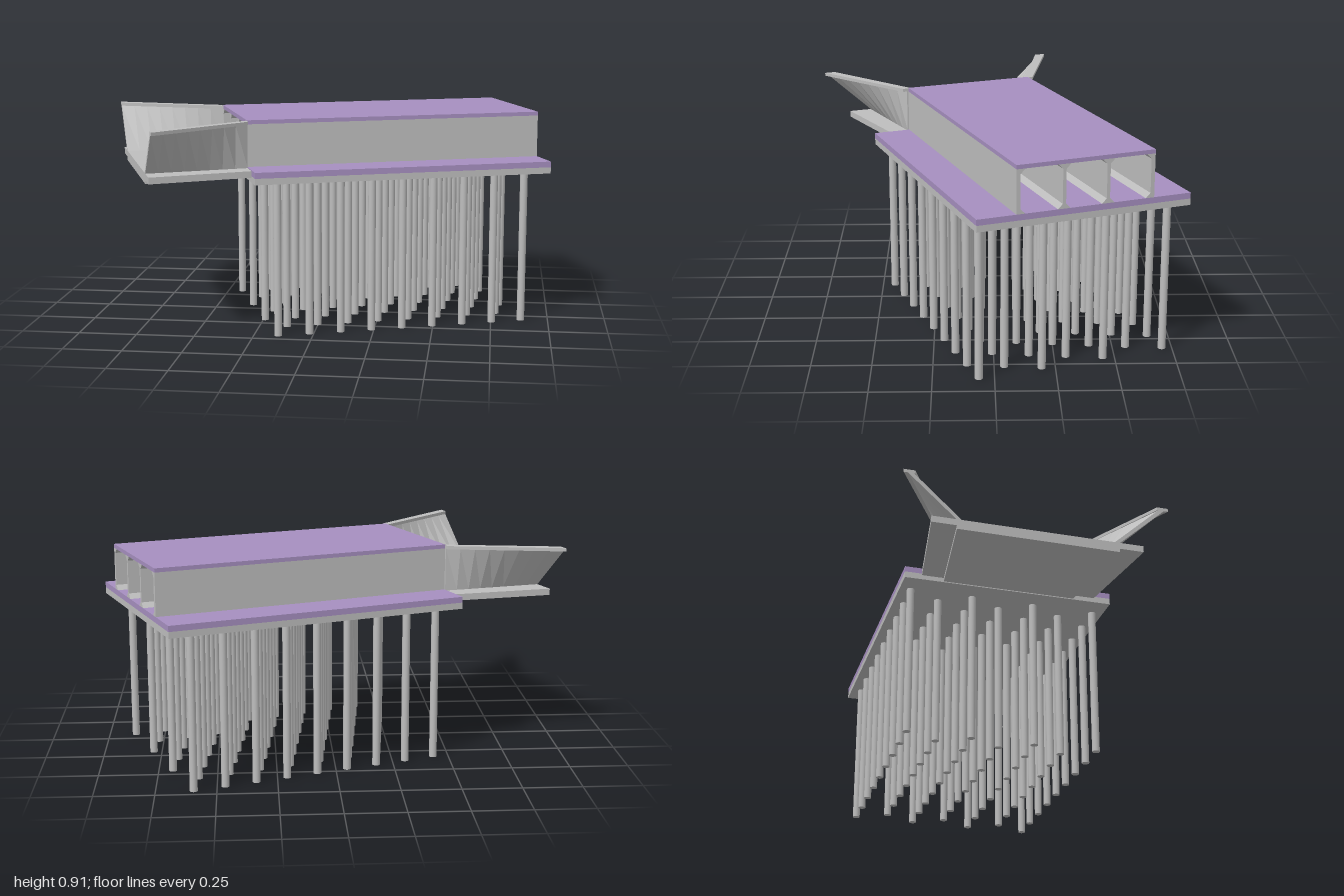
import * as THREE from 'three';

const concrete = new THREE.MeshStandardMaterial({ color: 0xbebebe });
concrete.name = 'grey concrete';
const purple = new THREE.MeshStandardMaterial({ color: 0xa68fc0 });
purple.name = 'purple slab';

const HALF = 0.652;   // half length of the culvert barrel
const END = -1.09;    // outer end of the apron
const DECK = 0.712;   // top of the foundation slab
const ROOF = 0.893;   // underside of the roof slab
const TOP = 0.91;

function add(group, name, geometry, material) {
  const mesh = new THREE.Mesh(geometry, material);
  mesh.name = name;
  group.add(mesh);
  return mesh;
}

// Box given by its full length and width and its bottom and top heights
function slab(group, name, length, width, y0, y1, material) {
  add(group, name, new THREE.BoxGeometry(length, y1 - y0, width), material)
    .position.y = (y0 + y1) / 2;
}

// Ruled solid between two four-point sections [z, y], from x0 towards -x to x1
function loft(from, to, x0, x1, steps, mirror = false) {
  const ring = (t) => {
    const pts = from.map(([z, y], i) => [
      x0 + (x1 - x0) * t,
      y + (to[i][1] - y) * t,
      (z + (to[i][0] - z) * t) * (mirror ? -1 : 1),
    ]);
    return mirror ? pts.reverse() : pts;
  };
  const out = [];
  const quad = (a, b, c, d) => out.push(...a, ...b, ...c, ...a, ...c, ...d);
  for (let s = 0; s < steps; s++) {
    const a = ring(s / steps), b = ring((s + 1) / steps);
    for (let i = 0; i < 4; i++) {
      const j = (i + 1) % 4;
      quad(a[i], a[j], b[j], b[i]);
    }
  }
  quad(...ring(0).reverse());
  quad(...ring(1));
  const geometry = new THREE.BufferGeometry();
  geometry.setAttribute('position', new THREE.Float32BufferAttribute(out, 3));
  geometry.computeVertexNormals();
  return geometry;
}

// Rectangle section, ordered for loft
const rect = (z0, z1, y0, y1) => [[z0, y0], [z1, y0], [z1, y1], [z0, y1]];

// Barrel wall with sloped haunches of sizes hl and hr on its two sides
function wallGeometry(z0, z1, hl, hr) {
  const h = 0.02;
  const shape = new THREE.Shape([
    [z0 - hl, DECK], [z1 + hr, DECK], [z1, DECK + h], [z1, ROOF - h],
    [z1 + hr, ROOF], [z0 - hl, ROOF], [z0, ROOF - h], [z0, DECK + h],
  ].map(([x, y]) => new THREE.Vector2(x, y)));
  const geometry = new THREE.ExtrudeGeometry(shape, { depth: 2 * HALF, bevelEnabled: false });
  return geometry.translate(0, 0, -HALF).rotateY(Math.PI / 2);
}

export function createModel() {
  const model = new THREE.Group();
  model.name = 'boxCulvert';
  const body = new THREE.Group();
  body.name = 'culvertOnPiles';
  body.position.set(0.224, 0, -0.131);
  body.rotation.y = 0.356;
  model.add(body);

  // Foundation and roof slabs
  slab(body, 'foundationBase', 2 * HALF, 0.918, 0.66, 0.687, concrete);
  slab(body, 'foundationSlab', 2 * HALF, 0.918, 0.687, DECK, purple);
  slab(body, 'roofSlab', 2 * HALF, 0.59, ROOF, TOP, purple);

  // Four walls enclosing three cells
  add(body, 'outerWall', wallGeometry(-0.295, -0.278, 0, 0.02), concrete);
  add(body, 'innerWall', wallGeometry(-0.101, -0.087, 0.02, 0.02), concrete);
  add(body, 'innerWall', wallGeometry(0.087, 0.101, 0.02, 0.02), concrete);
  add(body, 'outerWall', wallGeometry(0.278, 0.295, 0.02, 0), concrete);

  // Apron at the inlet with a narrower layer beneath
  add(body, 'apron', loft(rect(-0.385, 0.385, 0.68, 0.708),
    rect(-0.45, 0.45, 0.68, 0.708), -HALF, END, 1), concrete);
  add(body, 'apronBedding', loft(rect(-0.29, 0.29, 0.664, 0.68),
    rect(-0.345, 0.345, 0.664, 0.68), -HALF, END, 1), concrete);

  // Twisted wing walls: upright at the barrel, leaning outward at the end
  for (const mirror of [false, true]) {
    add(body, 'wingWall', loft(rect(0.28, 0.302, 0.708, ROOF),
      [[0.325, 0.708], [0.347, 0.708], [0.55, ROOF], [0.525, ROOF]],
      -HALF, END, 8, mirror), concrete);
    add(body, 'wingCoping', loft(rect(0.28, 0.32, ROOF, TOP - 0.003),
      rect(0.52, 0.568, ROOF, TOP - 0.003), -HALF, END, 1, mirror), concrete);
  }

  // Staggered piles: rows of nine alternating with rows of eight
  const pile = new THREE.CylinderGeometry(0.0165, 0.0165, 0.66, 16);
  const pitch = 0.137;
  for (let row = 0; row < 7; row++) {
    const count = row % 2 ? 8 : 9;
    for (let i = 0; i < count; i++) {
      add(body, 'pile', pile, concrete)
        .position.set((i - (count - 1) / 2) * pitch, 0.33, (row - 3) * pitch);
    }
  }
  return model;
}
